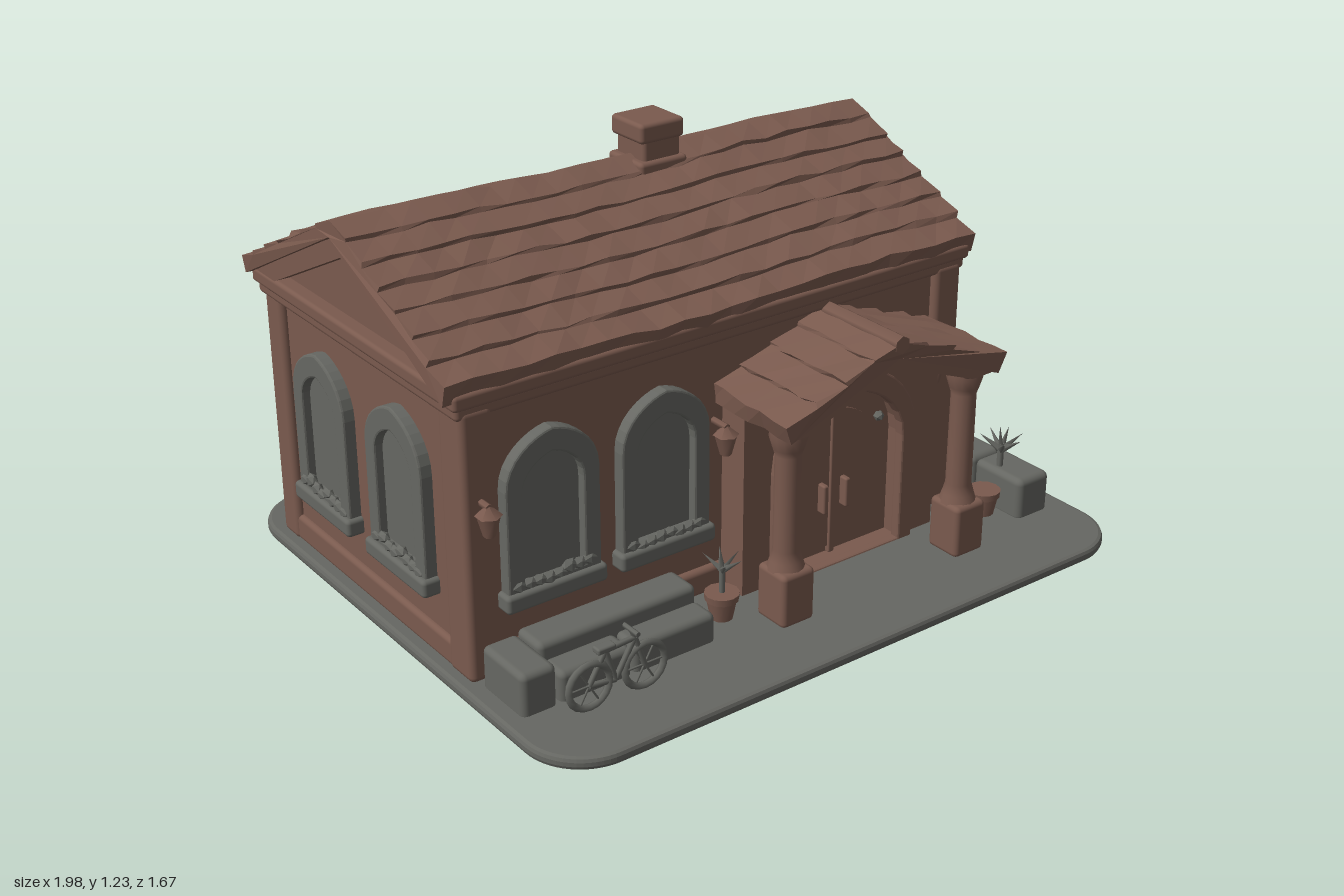
import * as THREE from 'three';
import { RoundedBoxGeometry } from 'three/addons/geometries/RoundedBoxGeometry.js';

const clay = new THREE.MeshStandardMaterial({ color: 0x7a5a4e });
clay.name = 'brown clay';
const stone = new THREE.MeshStandardMaterial({ color: 0x666762 });
stone.name = 'grey stone';

// Repeatable 0..1 value for an irregular, hand-made look
const hash = (a, b = 0) => {
  const s = Math.sin(Math.round(a * 100) * 12.99 + Math.round(b * 100) * 78.23) * 4375.85;
  return s - Math.floor(s);
};

function add(parent, name, geometry, material, x = 0, y = 0, z = 0) {
  const mesh = new THREE.Mesh(geometry, material);
  mesh.name = name;
  mesh.position.set(x, y, z);
  parent.add(mesh);
  return mesh;
}

// Rounded block given by its minimum and maximum corners
function block(parent, name, mat, x0, x1, y0, y1, z0, z1, r = 0.012) {
  return add(parent, name, new RoundedBoxGeometry(x1 - x0, y1 - y0, z1 - z0, 2, r), mat,
    (x0 + x1) / 2, (y0 + y1) / 2, (z0 + z1) / 2);
}

function extrude(shape, depth, bevel = 0, steps = 1) {
  return new THREE.ExtrudeGeometry(shape, {
    depth, steps, curveSegments: 8, bevelEnabled: bevel > 0,
    bevelSize: bevel, bevelThickness: bevel, bevelSegments: 2,
  });
}

const polygon = (pts) => new THREE.Shape(pts.map((p) => new THREE.Vector2(p[0], p[1])));

// Slightly pointed arch standing on y = base
function arch(w, spring, top, base = 0, Type = THREE.Shape) {
  const s = new Type();
  const k = (top - spring) * 0.62;
  s.moveTo(-w, base);
  s.lineTo(w, base);
  s.lineTo(w, spring);
  s.bezierCurveTo(w, spring + k, w * 0.4, top - 0.008, 0, top);
  s.bezierCurveTo(-w * 0.4, top - 0.008, -w, spring + k, -w, spring);
  s.closePath();
  return s;
}

// Gable roof with overlapping tile rows, running along +z
function tiledRoof(half, eave, ridge, thick, rows, length, steps) {
  const side = [];
  for (let i = 0; i < rows; i++) {
    const a = i / rows, b = (i + 1) / rows;
    side.push([half * (1 - a), eave + (ridge - eave) * a + 0.012]);
    side.push([half * (1 - b), eave + (ridge - eave) * b]);
  }
  const left = side.slice(0, -1).reverse().map(([u, y]) => [-u, y]);
  const g = extrude(polygon([[half - 0.01, eave - thick], ...side, ...left,
    [-half + 0.01, eave - thick], [0, ridge - thick]]), length, 0, steps);
  const p = g.attributes.position;
  for (let i = 0; i < p.count; i++) {
    const x = p.getX(i), y = p.getY(i), z = p.getZ(i);
    p.setX(i, x + Math.sign(x) * (hash(z, y) - 0.5) * 0.014);
    p.setY(i, y + (hash(z + x, y) - 0.5) * 0.009 + 0.006 * Math.sin(z * 5 + 1));
    p.setZ(i, z + (hash(x, y) - 0.5) * 0.016);
  }
  g.computeVertexNormals();
  return g;
}

// Round bar between two points
function bar(parent, name, mat, a, b, r) {
  const A = new THREE.Vector3(...a), B = new THREE.Vector3(...b);
  const m = add(parent, name, new THREE.CylinderGeometry(r, r, A.distanceTo(B), 6), mat);
  m.position.copy(A).add(B).multiplyScalar(0.5);
  m.quaternion.setFromUnitVectors(new THREE.Vector3(0, 1, 0), B.sub(A).normalize());
}

function makeWindow(parent, x, z, angle) {
  const w = new THREE.Group();
  w.name = 'window';
  w.position.set(x, 0.25, z);
  w.rotation.y = angle;
  parent.add(w);
  const frame = arch(0.137, 0.3, 0.44);
  frame.holes.push(arch(0.098, 0.28, 0.385, 0.02, THREE.Path));
  add(w, 'windowFrame', extrude(frame, 0.03, 0.006), stone);
  add(w, 'windowPane', extrude(arch(0.105, 0.28, 0.39), 0.008), stone, 0, 0, 0.002);
  block(w, 'windowSill', stone, -0.155, 0.155, -0.04, 0.012, -0.01, 0.05);
  for (let i = 0; i < 8; i++) {
    const leaf = add(w, 'sillPlant', new THREE.IcosahedronGeometry(0.02, 0), stone,
      -0.11 + i * 0.031, 0.014 + 0.022 * hash(i, x), 0.03);
    leaf.scale.set(1.2, 0.7 + 0.5 * hash(i, z), 0.8);
  }
}

// Rosette of pointed leaves
function plant(parent, x, y, z, size, n) {
  for (let i = 0; i < n; i++) {
    const g = new THREE.ConeGeometry(size * 0.15, size, 4).translate(0, size / 2, 0);
    const leaf = add(parent, 'leaf', g, stone, x, y, z);
    leaf.rotation.set(0, (i / n) * Math.PI * 2, i ? 0.95 : 0.1, 'YXZ');
  }
}

function pot(parent, x, z) {
  add(parent, 'flowerPot', new THREE.CylinderGeometry(0.044, 0.03, 0.07, 12), clay, x, 0.065, z);
  add(parent, 'potRim', new THREE.CylinderGeometry(0.049, 0.047, 0.02, 12), clay, x, 0.103, z);
}

export function createModel() {
  const model = new THREE.Group();
  model.name = 'house';

  // Ground slab with rounded corners
  const X = 0.97, Z = 0.825, R = 0.16, slab = new THREE.Shape();
  slab.absarc(X - R, Z - R, R, 0, Math.PI / 2);
  slab.absarc(R - X, Z - R, R, Math.PI / 2, Math.PI);
  slab.absarc(R - X, R - Z, R, Math.PI, Math.PI * 1.5);
  slab.absarc(X - R, R - Z, R, Math.PI * 1.5, Math.PI * 2);
  add(model, 'groundSlab', extrude(slab, 0.012, 0.012).rotateX(-Math.PI / 2), stone, 0.004, 0.012, -0.004);

  // Walls, plinth, corner pilasters and frieze
  block(model, 'walls', clay, -0.925, 0.695, 0.03, 0.82, -0.645, 0.345);
  block(model, 'plinth', clay, -0.94, 0.715, 0.03, 0.11, -0.665, 0.365, 0.015);
  for (const [x0, x1] of [[-0.945, -0.85], [0.62, 0.718]])
    for (const [z0, z1] of [[-0.668, -0.575], [0.255, 0.368]])
      block(model, 'cornerPilaster', clay, x0, x1, 0.03, 0.8, z0, z1, 0.018);
  block(model, 'frieze', clay, -0.955, 0.73, 0.775, 0.815, -0.68, 0.365);
  block(model, 'cornice', clay, -0.965, 0.74, 0.805, 0.85, -0.695, 0.375);

  // Gables, sloping mouldings and main roof, all extruded along x
  const turn = Math.PI / 2;
  add(model, 'gable', extrude(polygon([[-0.5, 0.83], [0.5, 0.83], [0, 1.085]]), 1.61)
    .rotateY(turn), clay, -0.92, 0, -0.1625);
  const rake = polygon([[0.53, 0.81], [0.53, 0.85], [0, 1.1], [-0.53, 0.85], [-0.53, 0.81],
    [-0.47, 0.81], [0, 1.04], [0.47, 0.81]]);
  for (const x of [-0.962, 0.685])
    add(model, 'gableMoulding', extrude(rake, 0.045).rotateY(turn), clay, x, 0, -0.1625);
  add(model, 'mainRoof', tiledRoof(0.54, 0.868, 1.14, 0.04, 7, 1.74, 22).rotateY(turn), clay,
    -0.985, 0, -0.1625);

  // Chimney
  const chimney = new THREE.Group();
  chimney.name = 'chimney';
  model.add(chimney);
  block(chimney, 'chimneyBase', clay, -0.075, 0.085, 1.02, 1.125, -0.245, -0.085);
  block(chimney, 'chimneyStack', clay, -0.055, 0.07, 1.08, 1.2, -0.23, -0.1);
  block(chimney, 'chimneyCap', clay, -0.068, 0.08, 1.175, 1.232, -0.24, -0.093);

  // Windows on all four sides
  for (const x of [-0.69, -0.335]) {
    makeWindow(model, x, 0.345, 0);
    makeWindow(model, x + 0.025, -0.645, Math.PI);
  }
  for (const z of [0.04, -0.36]) {
    makeWindow(model, 0.695, z, turn);
    makeWindow(model, -0.925, z, -turn);
  }

  // Porch: door wall, doors, columns, beams and roof
  const porch = new THREE.Group();
  porch.name = 'porch';
  porch.position.x = 0.225;
  model.add(porch);
  const wall = polygon([[-0.35, 0.03], [0.35, 0.03], [0.35, 0.6], [0, 0.75], [-0.35, 0.6]]);
  wall.holes.push(arch(0.215, 0.37, 0.57, 0.04, THREE.Path));
  add(porch, 'doorWall', extrude(wall, 0.1), clay, 0, 0, 0.34);
  const trim = arch(0.25, 0.38, 0.625, 0.03);
  trim.holes.push(arch(0.21, 0.37, 0.565, 0.035, THREE.Path));
  add(porch, 'doorArch', extrude(trim, 0.02, 0.006), clay, 0, 0, 0.435);
  add(porch, 'door', extrude(arch(0.22, 0.37, 0.575, 0.03), 0.03), clay, 0, 0, 0.36);
  const panel = arch(0.165, 0.34, 0.49, 0.06);
  add(porch, 'doorPanel', extrude(panel, 0.008), clay, 0, 0, 0.39);
  block(porch, 'doorCentreStrip', clay, -0.01, 0.01, 0.04, 0.55, 0.38, 0.406, 0.004);
  for (const s of [-1, 1]) {
    block(porch, 'doorHandle', clay, s * 0.04 - 0.009, s * 0.04 + 0.009, 0.18, 0.27, 0.39, 0.425, 0.006);
    block(porch, 'columnBase', clay, s * 0.315 - 0.055, s * 0.315 + 0.055, 0.03, 0.19, 0.525, 0.64, 0.015);
    const profile = [[0.055, 0.18], [0.045, 0.21], [0.037, 0.24], [0.036, 0.52], [0.043, 0.54],
      [0.052, 0.57], [0.052, 0.6]].map((p) => new THREE.Vector2(...p));
    add(porch, 'column', new THREE.LatheGeometry(profile, 14), clay, s * 0.315, 0, 0.58);
    block(porch, 'porchBeam', clay, s * 0.315 - 0.04, s * 0.315 + 0.04, 0.58, 0.635, 0.36, 0.63);
  }
  add(porch, 'porchGableTrim', extrude(polygon([[-0.36, 0.585], [-0.29, 0.585], [0, 0.7], [0.29, 0.585],
    [0.36, 0.585], [0.36, 0.62], [0, 0.765], [-0.36, 0.62]]), 0.04), clay, 0, 0, 0.595);
  add(porch, 'porchRoof', tiledRoof(0.385, 0.632, 0.775, 0.045, 4, 0.33, 6), clay, 0, 0, 0.325);
  bar(porch, 'porchRidge', clay, [0, 0.772, 0.3], [0, 0.772, 0.66], 0.026);
  add(porch, 'doorKnocker', new THREE.IcosahedronGeometry(0.016, 0), stone, 0.165, 0.42, 0.402);

  // Wall lanterns
  for (const x of [-0.895, -0.155, 0.6]) {
    bar(model, 'lanternBracket', clay, [x, 0.545, 0.34], [x, 0.545, 0.405], 0.01);
    add(model, 'lantern', new THREE.CylinderGeometry(0.032, 0.016, 0.06, 6), clay, x, 0.495, 0.4);
    add(model, 'lanternCap', new THREE.ConeGeometry(0.036, 0.03, 6), clay, x, 0.538, 0.4);
  }

  // Stone row along the side
  const row = [[-0.66, -0.535], [-0.525, -0.205], [-0.19, -0.095], [-0.085, 0.11], [0.12, 0.385], [0.395, 0.585]];
  row.forEach(([a, b], i) =>
    block(model, 'edgingStone', stone, 0.795 - 0.01 * hash(i), 0.91 + 0.01 * hash(i, 2),
      0.02, 0.15 + 0.012 * hash(i, 5), a, b, 0.02));

  // Low stone bench by the front windows
  block(model, 'benchEnd', stone, -0.925, -0.82, 0.02, 0.155, 0.385, 0.575, 0.018);
  block(model, 'benchBack', stone, -0.815, -0.315, 0.02, 0.16, 0.375, 0.485, 0.018);
  for (const [a, b] of [[-0.81, -0.59], [-0.585, -0.32]])
    block(model, 'benchSeat', stone, a, b, 0.02, 0.12, 0.485, 0.575, 0.018);

  // Potted plants
  pot(model, -0.235, 0.49);
  pot(model, 0.74, 0.49);
  bar(model, 'stem', stone, [-0.235, 0.1, 0.49], [-0.235, 0.19, 0.49], 0.008);
  plant(model, -0.235, 0.18, 0.49, 0.07, 6);
  bar(model, 'stem', stone, [0.82, 0.14, 0.47], [0.82, 0.23, 0.47], 0.01);
  plant(model, 0.82, 0.21, 0.47, 0.08, 7);

  // Bicycle
  const bike = new THREE.Group();
  bike.name = 'bicycle';
  bike.position.set(-0.685, 0.105, 0.64);
  model.add(bike);
  const hubs = [-0.085, 0.085];
  for (const x of hubs) {
    add(bike, 'wheel', new THREE.TorusGeometry(0.062, 0.01, 6, 20), stone, x, 0, 0);
    for (let i = 0; i < 3; i++) {
      const c = 0.06 * Math.cos(i * 1.047), s = 0.06 * Math.sin(i * 1.047);
      bar(bike, 'spoke', stone, [x - c, -s, 0], [x + c, s, 0], 0.003);
    }
  }
  const [rear, front, crank, seat, head] =
    [[-0.085, 0, 0], [0.085, 0, 0], [-0.005, -0.01, 0], [-0.035, 0.085, 0], [0.055, 0.09, 0]];
  for (const [a, b] of [[rear, crank], [rear, seat], [crank, seat], [crank, head], [seat, head], [front, head]])
    bar(bike, 'bikeFrame', stone, a, b, 0.008);
  bar(bike, 'handlebar', stone, [0.045, 0.115, -0.03], [0.045, 0.115, 0.03], 0.007);
  bar(bike, 'handlebarStem', stone, head, [0.045, 0.115, 0], 0.007);
  block(bike, 'saddle', stone, -0.065, -0.01, 0.085, 0.103, -0.015, 0.015, 0.006);

  return model;
}
